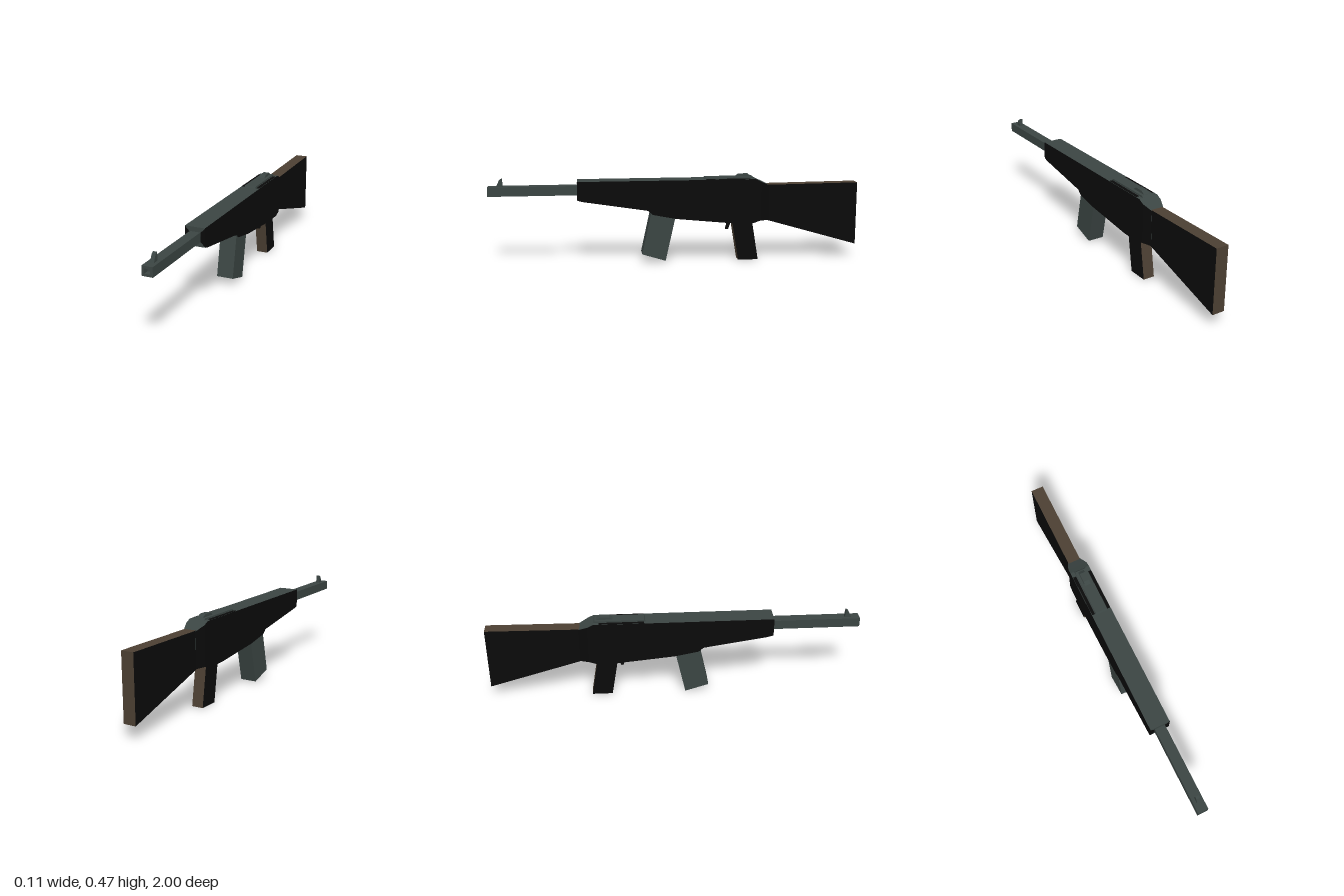
import * as THREE from 'three';

const material = (name, color) => {
  const m = new THREE.MeshStandardMaterial({ color });
  m.name = name;
  return m;
};

export function createModel() {
  const metal = material('gunmetal', 0x3b4543);
  const wood = material('brown wood', 0x4c4033);
  const black = material('black', 0x0a0a0a);

  const model = new THREE.Group();
  model.name = 'rifle';

  const add = (name, geometry, mat) => {
    const mesh = new THREE.Mesh(geometry, mat);
    mesh.name = name;
    model.add(mesh);
    return mesh;
  };
  const outline = (points) => new THREE.Shape(points.map(([a, b]) => new THREE.Vector2(a, b)));

  // Side profile in (z, y), extruded evenly across x; caps are the flanks
  const slab = (points, half) =>
    new THREE.ExtrudeGeometry(outline(points), { depth: 2 * half, bevelEnabled: false })
      .translate(0, 0, -half)
      .rotateY(-Math.PI / 2);

  // Box given by its limits
  const box = (x0, x1, y0, y1, z0, z1) =>
    new THREE.BoxGeometry(x1 - x0, y1 - y0, z1 - z0)
      .translate((x0 + x1) / 2, (y0 + y1) / 2, (z0 + z1) / 2);

  // Receiver with black flanks and metal edges
  add('receiver', slab([
    [0.53, 0.45], [-0.43, 0.45], [-0.46, 0.435], [-0.46, 0.222], [-0.42, 0.208],
    [-0.3, 0.21], [0, 0.24], [0.13, 0.265], [0.155, 0.288], [0.5, 0.342], [0.53, 0.35],
  ], 0.054), [black, metal]);

  // Receiver tail narrowing into the stock
  const tail = slab([[-0.46, 0.435], [-0.51, 0.412], [-0.51, 0.22], [-0.46, 0.222]], 0.054);
  const pos = tail.attributes.position;
  for (let i = 0; i < pos.count; i++) {
    if (pos.getZ(i) < -0.5) pos.setX(i, Math.sign(pos.getX(i)) * 0.035);
  }
  tail.computeVertexNormals();
  add('receiverTail', tail, [black, metal]);

  // Shoulder stock and grip with wooden edges
  add('stock', slab([[-0.5, 0.415], [-1, 0.42], [-1, 0.075], [-0.5, 0.22]], 0.034), [black, wood]);
  add('grip', slab([[-0.305, 0.225], [-0.415, 0.225], [-0.452, 0], [-0.342, 0]], 0.032), [black, wood]);

  // Magazine and trigger
  add('magazine', slab([[0.135, 0.285], [0.005, 0.255], [0.06, 0.008], [0.187, 0.047]], 0.046), metal);
  add('trigger', slab([[-0.285, 0.215], [-0.305, 0.215], [-0.288, 0.168], [-0.273, 0.17]], 0.008), black);

  // Square barrel with a shallow bore
  const barrel = outline([[-0.028, 0.375], [0.028, 0.375], [0.028, 0.425], [-0.028, 0.425]]);
  barrel.holes.push(outline([[-0.015, 0.388], [-0.015, 0.413], [0.015, 0.413], [0.015, 0.388]]));
  add('barrel', new THREE.ExtrudeGeometry(barrel, { depth: 0.48, bevelEnabled: false }).translate(0, 0, 0.52), metal);
  add('boreEnd', box(-0.016, 0.016, 0.387, 0.414, 0.93, 0.97), metal);

  // Front sight blade
  add('frontSight', slab([[0.958, 0.42], [0.938, 0.46], [0.925, 0.468], [0.92, 0.42]], 0.01), metal);

  // Top cover and rear sight
  add('topCover', slab([[-0.15, 0.445], [-0.16, 0.459], [-0.42, 0.459], [-0.44, 0.44]], 0.032), metal);
  add('rearSight', slab([[-0.32, 0.455], [-0.345, 0.473], [-0.395, 0.473], [-0.42, 0.455]], 0.016), metal);

  // Black insets beside the cover and on the receiver front, mirrored
  for (const s of [1, -1]) {
    add('coverInset', box(-0.008, 0.008, 0.449, 0.452, -0.4, -0.16).translate(s * 0.044, 0, 0), black);
    const points = [[0.03, 0.376], [0.054, 0.352], [0.054, 0.448], [0.03, 0.424]];
    add('frontInset', new THREE.ExtrudeGeometry(
      outline(points.map(([x, y]) => [s * x, y])),
      { depth: 0.002, bevelEnabled: false },
    ).translate(0, 0, 0.529), black);
  }

  return model;
}
